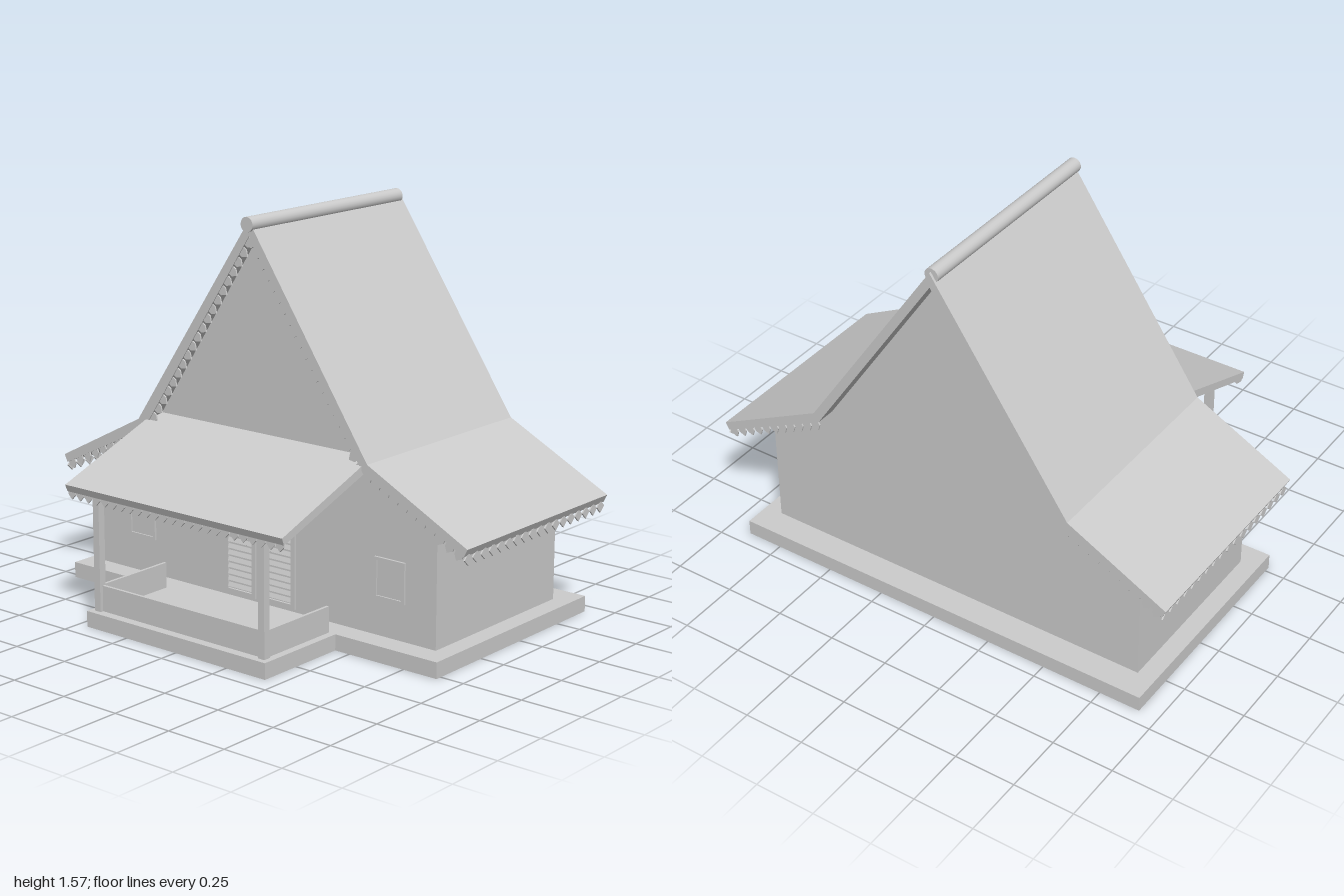
import * as THREE from 'three';
import { mergeGeometries } from 'three/addons/utils/BufferGeometryUtils.js';

const CX = -0.01; // symmetry axis of the house

export function createModel() {
  const house = new THREE.Group();
  house.name = 'house';
  const mat = new THREE.MeshStandardMaterial({ color: 0xcccccc });

  const add = (name, geometry, parent = house) => {
    const mesh = new THREE.Mesh(geometry, mat);
    mesh.name = name;
    parent.add(mesh);
    return mesh;
  };
  // box given by its low and high corners
  const box = (name, [x0, y0, z0], [x1, y1, z1], parent) => {
    const g = new THREE.BoxGeometry(x1 - x0, y1 - y0, z1 - z0);
    g.translate((x0 + x1) / 2, (y0 + y1) / 2, (z0 + z1) / 2);
    return add(name, g, parent);
  };
  const polygon = (pts) => new THREE.Shape(pts.map(([x, y]) => new THREE.Vector2(x, y)));
  const prism = (pts, depth) =>
    new THREE.ExtrudeGeometry(polygon(pts), { depth, bevelEnabled: false });

  // plinth with the porch projecting forward
  const plinth = prism([
    [-0.92, 0.69], [-0.92, -0.275], [-0.455, -0.275], [-0.455, -0.675],
    [0.435, -0.675], [0.435, -0.275], [0.9, -0.275], [0.9, 0.69],
  ], 0.063);
  add('plinth', plinth.rotateX(-Math.PI / 2));

  // walls and gables in one profile
  const walls = prism([
    [-0.845, 0.063], [0.825, 0.063], [0.825, 0.56], [0.54, 0.70],
    [CX, 1.51], [-0.57, 0.69], [-0.845, 0.55],
  ], 0.76);
  add('walls', walls.translate(0, 0, -0.58));

  // main roof: steep centre, flatter wings
  const roof = prism([
    [-1, 0.495], [-0.985, 0.465], [-0.555, 0.675], [CX, 1.495], [0.53, 0.69],
    [0.985, 0.465], [1, 0.495], [0.55, 0.725], [CX, 1.555], [-0.585, 0.71],
  ], 0.905);
  add('mainRoof', roof.translate(0, 0, -0.665));

  const ridge = new THREE.CylinderGeometry(0.029, 0.029, 0.905, 20);
  add('ridgeCap', ridge.rotateX(Math.PI / 2).translate(-0.012, 1.54, -0.203));

  // porch roof, profile in z and y
  const porchRoof = prism([
    [0.18, 0.7], [0.675, 0.52], [0.686, 0.548], [0.18, 0.737],
  ], 1.07);
  add('porchRoof', porchRoof.rotateY(-Math.PI / 2).translate(0.525, 0, 0));

  // rows of hanging teeth from a to b, spread evenly
  const PENTAGON = [[-0.018, 0.004], [-0.018, -0.015], [0, -0.034], [0.018, -0.015], [0.018, 0.004]];
  const DIAMOND = [[-0.024, -0.014], [0, -0.038], [0.024, -0.014], [0, 0.01]];
  const teeth = (name, a, b, outline, spacing = 0.05) => {
    const start = new THREE.Vector3(...a), end = new THREE.Vector3(...b);
    const along = end.clone().sub(start);
    const count = Math.round(along.length() / spacing);
    along.normalize();
    const out = along.clone().cross(new THREE.Vector3(0, 1, 0)).normalize();
    const up = out.clone().cross(along);
    const parts = [];
    for (let i = 0; i < count; i++) {
      const p = start.clone().lerp(end, (i + 0.5) / count);
      const m = new THREE.Matrix4().makeBasis(along, up, out).setPosition(p);
      parts.push(prism(outline, 0.006).translate(0, 0, -0.003).applyMatrix4(m));
    }
    add(name, mergeGeometries(parts));
  };
  const RAKES = [
    ['left', [0.53, 0.69], [0.985, 0.465]],
    ['right', [-0.555, 0.675], [-0.985, 0.465]],
  ];
  for (const [side, knee, eave] of RAKES) {
    teeth(side + 'GableTrim', [CX, 1.495, 0.234], [...knee, 0.234], PENTAGON, 0.046);
    teeth(side + 'FrontWingTrim', [...knee, 0.234], [...eave, 0.234], PENTAGON, 0.046);
    teeth(side + 'BackWingTrim', [...knee, -0.659], [...eave, -0.659], PENTAGON, 0.046);
    teeth(side + 'EaveTrim', [eave[0], 0.466, 0.24], [eave[0], 0.466, -0.665], DIAMOND);
  }
  teeth('porchTrim', [-0.545, 0.525, 0.67], [0.525, 0.525, 0.67], PENTAGON, 0.043);

  // porch posts and low parapet
  for (const x of [-0.42, 0.398]) {
    box('porchPost', [x - 0.015, 0.063, 0.622], [x + 0.015, 0.545, 0.652]);
    box('sideParapet', [x - 0.006, 0.063, 0.275], [x + 0.006, 0.165, 0.625]);
  }
  box('frontParapet', [-0.405, 0.063, 0.626], [0.383, 0.165, 0.638]);

  // rectangular frame with an opening, standing on the front wall
  const frame = (name, x0, x1, y0, y1, w, parent) => {
    const shape = polygon([[x0, y0], [x1, y0], [x1, y1], [x0, y1]]);
    shape.holes.push(polygon([
      [x0 + w, y0 + w], [x0 + w, y1 - w], [x1 - w, y1 - w], [x1 - w, y0 + w],
    ]));
    const g = new THREE.ExtrudeGeometry(shape, { depth: 0.01, bevelEnabled: false });
    add(name, g.translate(0, 0, 0.179), parent);
  };

  // windows
  for (const x of [-0.625, 0.615]) {
    const win = new THREE.Group();
    win.name = 'window';
    house.add(win);
    frame('windowFrame', x - 0.07, x + 0.07, 0.207, 0.367, 0.012, win);
    box('windowPane', [x - 0.058, 0.219, 0.175], [x + 0.058, 0.355, 0.183], win);
  }

  // pair of louvred doors
  for (const x of [CX - 0.098, CX + 0.098]) {
    const door = new THREE.Group();
    door.name = 'louvredDoor';
    house.add(door);
    frame('doorFrame', x - 0.078, x + 0.078, 0.075, 0.4, 0.018, door);
    for (let i = 0; i < 11; i++) {
      const slat = new THREE.BoxGeometry(0.12, 0.018, 0.004);
      slat.rotateX(-0.4).translate(x, 0.108 + i * 0.026, 0.184);
      add('slat', slat, door);
    }
  }

  return house;
}
